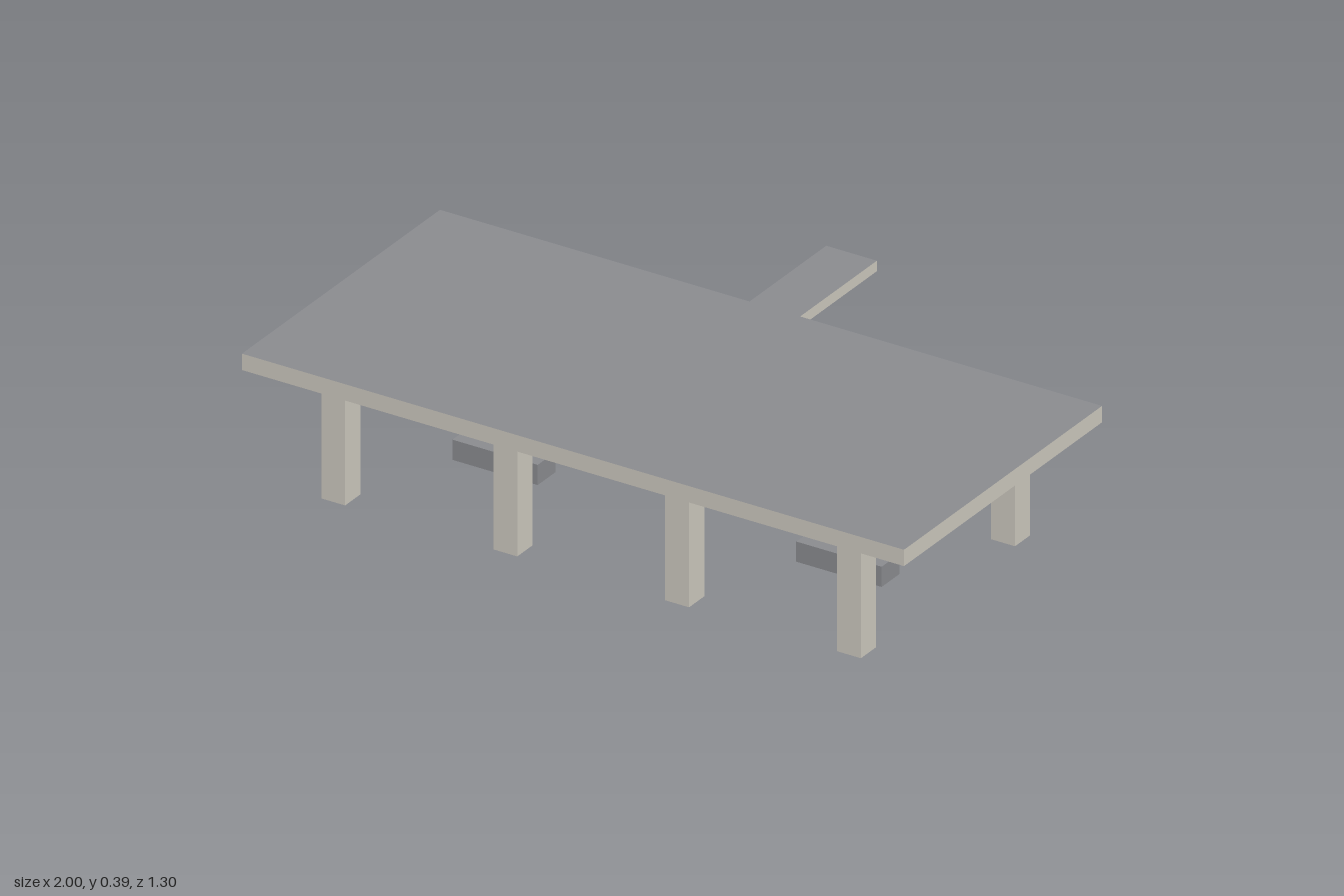
import * as THREE from 'three';

// Thin open sheets, so both sides show
const deckGrey = new THREE.MeshStandardMaterial({ color: 0x8a8b8f, side: THREE.DoubleSide });
deckGrey.name = 'deckGrey';
const concrete = new THREE.MeshStandardMaterial({ color: 0xccc8be, side: THREE.DoubleSide });
concrete.name = 'concrete';

// Rectangle facing a named direction, placed on a box [x0,x1,y0,y1,z0,z1]
function face(side, [x0, x1, y0, y1, z0, z1], material, name) {
  const w = x1 - x0, h = y1 - y0, d = z1 - z0;
  const cx = (x0 + x1) / 2, cy = (y0 + y1) / 2, cz = (z0 + z1) / 2;
  const [pw, ph, rx, ry, px, py, pz] = {
    front: [w, h, 0, 0, cx, cy, z1],
    back: [w, h, 0, Math.PI, cx, cy, z0],
    left: [d, h, 0, Math.PI / 2, x1, cy, cz],
    right: [d, h, 0, -Math.PI / 2, x0, cy, cz],
    top: [w, d, -Math.PI / 2, 0, cx, y1, cz],
  }[side];
  const mesh = new THREE.Mesh(new THREE.PlaneGeometry(pw, ph), material);
  mesh.rotation.set(rx, ry, 0);
  mesh.position.set(px, py, pz);
  mesh.name = name;
  return mesh;
}

// Hollow part made only of the listed faces
function shell(name, bounds, sides, wallMaterial) {
  const group = new THREE.Group();
  group.name = name;
  for (const side of sides) {
    group.add(face(side, bounds, side === 'top' ? deckGrey : wallMaterial, name + ' ' + side));
  }
  return group;
}

export function createModel() {
  const model = new THREE.Group();
  model.name = 'raisedPlatform';

  // Main deck: a sheet with a hanging edge, open on its right end
  model.add(shell('deck', [-1, 1, 0.343, 0.39, -0.287, 0.65],
    ['top', 'front', 'back', 'left'], concrete));

  // Narrow walkway at the back, open at its far end
  model.add(shell('walkway', [-0.065, 0.088, 0.36, 0.39, -0.65, -0.287],
    ['top', 'left', 'right'], concrete));

  // Two rows of four square columns, open at the ends
  const walls = ['front', 'back', 'left', 'right'];
  for (const z of [0.547, -0.182]) {
    for (const x of [-0.767, -0.247, 0.272, 0.791]) {
      model.add(shell('column', [x - 0.036, x + 0.036, 0, 0.343, z - 0.036, z + 0.036],
        walls, concrete));
    }
  }

  // Low blocks on the ground under the deck
  for (const x of [-0.507, 0.532]) {
    model.add(shell('groundBlock', [x - 0.129, x + 0.129, 0, 0.058, 0.141, 0.225],
      [...walls, 'top'], deckGrey));
  }

  return model;
}
